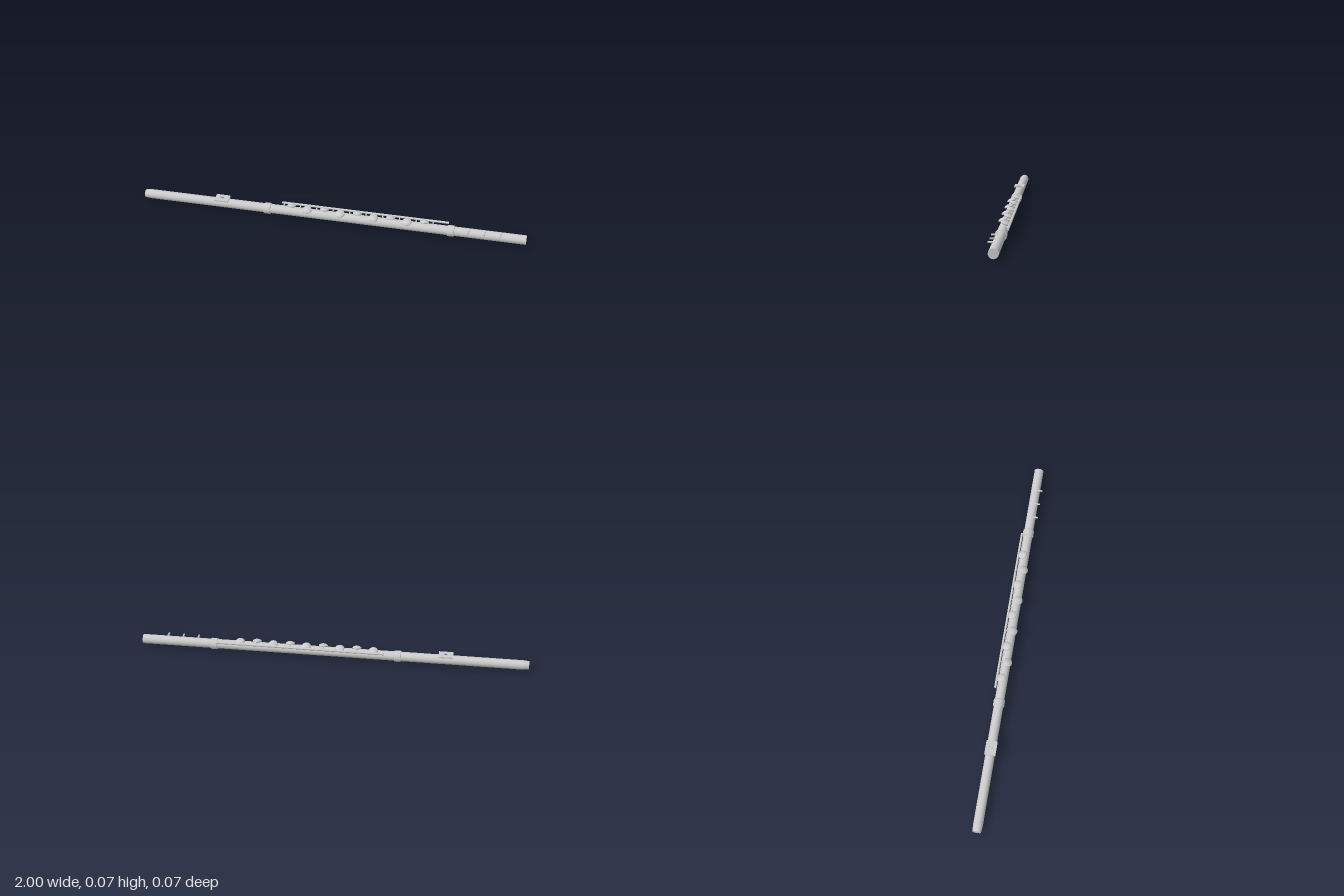
import * as THREE from 'three';

const AXIS_Y = 0.029; // height of the tube's axis

export function createModel() {
  const flute = new THREE.Group();
  const metal = new THREE.MeshStandardMaterial({ color: 0xcccccc });

  const add = (name, geometry, parent = flute) => {
    const mesh = new THREE.Mesh(geometry, metal);
    mesh.name = name;
    parent.add(mesh);
    return mesh;
  };
  // Cylinder lying along x between two points; r0 at the -x end
  const along = (name, x0, x1, r0, r1 = r0, y = AXIS_Y, z = 0, sides = 32) => {
    const g = new THREE.CylinderGeometry(r1, r0, x1 - x0, sides).rotateZ(-Math.PI / 2);
    const mesh = add(name, g);
    mesh.position.set((x0 + x1) / 2, y, z);
    return mesh;
  };

  // Tube: tapered crown, then one long straight body
  along('crown', -1, -0.97, 0.021, 0.0245);
  along('tube', -0.97, 1, 0.0243);

  // Joint rings with softened edges
  for (const x of [-0.335, 0.62]) {
    const profile = [[0.024, -0.017], [0.028, -0.017], [0.029, -0.014],
      [0.029, 0.014], [0.028, 0.017], [0.024, 0.017]].map(p => new THREE.Vector2(...p));
    const ring = add('jointRing', new THREE.LatheGeometry(profile, 32).rotateZ(-Math.PI / 2));
    ring.position.set(x, AXIS_Y, 0);
  }

  // Lip plate with the blow hole
  const plate = new THREE.Shape([[-0.037, -0.028], [0.037, -0.028], [0.037, 0.028], [-0.037, 0.028]]
    .map(p => new THREE.Vector2(...p)));
  plate.holes.push(new THREE.Path().absarc(0, 0, 0.011, 0, Math.PI * 2, true));
  const lip = add('lipPlate', new THREE.ExtrudeGeometry(plate, { depth: 0.007, bevelEnabled: false, curveSegments: 12 })
    .rotateX(-Math.PI / 2));
  lip.position.set(-0.58, 0.052, 0);

  // Long key rod behind the tube
  const rodY = 0.054, rodZ = -0.031;
  along('keyRod', -0.265, 0.605, 0.006, 0.006, rodY, rodZ, 16);

  // Nine domed keys, leaning alternately to the back and the front
  const cup = [[0, -0.003], [0.022, -0.003], [0.0235, -0.001], [0.0235, 0.002], [0.021, 0.0045],
    [0.015, 0.008], [0.008, 0.0102], [0, 0.011]].map(p => new THREE.Vector2(...p));
  const cupGeometry = new THREE.LatheGeometry(cup, 24);
  for (let i = 0; i < 9; i++) {
    const side = i % 2 ? 1 : -1;
    const x = -0.21 + i * 0.0865;
    const key = add('key', cupGeometry);
    key.position.set(x, 0.0565, side * 0.0095);
    key.rotation.x = side * 0.33;

    // Arm joining the key to the rod
    const from = new THREE.Vector3(x, rodY, rodZ);
    const to = new THREE.Vector3(x, 0.057, side * 0.0095);
    add('keyArm', new THREE.TubeGeometry(new THREE.LineCurve3(from, to), 1, 0.003, 8));
  }

  // Posts holding the rod to the tube
  for (let i = 0; i < 10; i++) {
    const x = -0.253 + i * 0.0865;
    const path = new THREE.LineCurve3(new THREE.Vector3(x, 0.044, -0.014), new THREE.Vector3(x, rodY, rodZ));
    add('rodPost', new THREE.TubeGeometry(path, 1, 0.0035, 8));
  }

  // Three short foot levers sticking out to the front
  for (const x of [0.71, 0.79, 0.87]) {
    const lever = add('footLever', new THREE.CylinderGeometry(0.0045, 0.0045, 0.03, 12).rotateX(Math.PI / 2));
    lever.position.set(x, 0.051, 0.022);
  }

  return flute;
}
